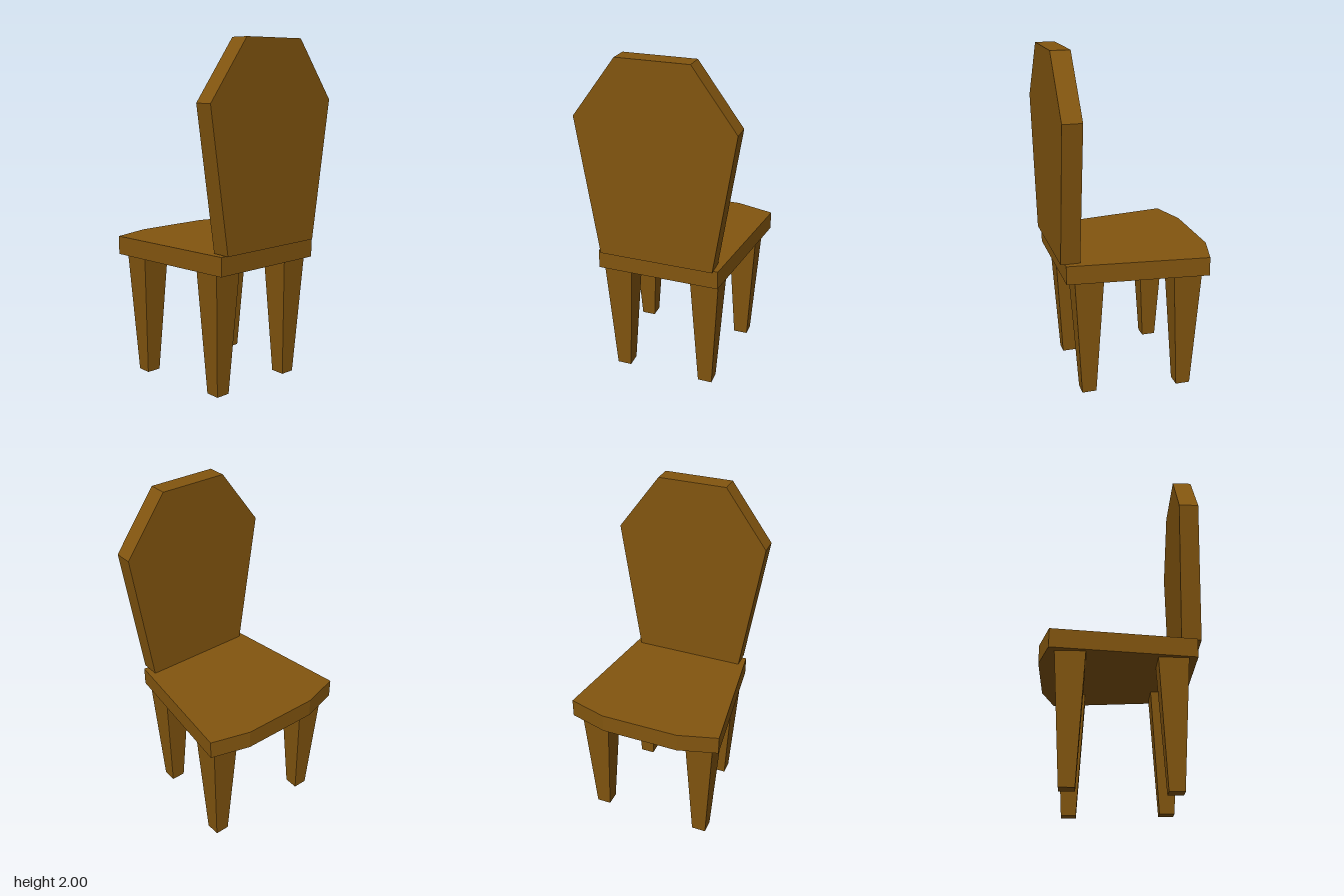
import * as THREE from 'three';

// Symmetric outline from half-points [along, half width], extruded into a slab
function slab(points, thickness) {
  const outline = [
    ...points.map(([a, w]) => new THREE.Vector2(w, a)),
    ...points.slice().reverse().map(([a, w]) => new THREE.Vector2(-w, a)),
  ];
  return new THREE.ExtrudeGeometry(new THREE.Shape(outline), { depth: thickness, bevelEnabled: false });
}

export function createModel() {
  const wood = new THREE.MeshStandardMaterial({ color: 0x82550f, flatShading: true });
  wood.name = 'brown wood';
  const chair = new THREE.Group();
  chair.name = 'chair';

  const add = (name, geometry, x = 0, y = 0, z = 0) => {
    const mesh = new THREE.Mesh(geometry, wood);
    mesh.name = name;
    mesh.position.set(x, y, z);
    chair.add(mesh);
  };

  // Seat: tapers towards the backrest, with clipped corners on the open edge
  const seat = slab([[-0.425, 0.36], [0.39, 0.46], [0.455, 0.23]], 0.11);
  seat.rotateX(-Math.PI / 2).rotateY(Math.PI / 2);
  add('seat', seat, 0, 0.732, 0);

  // Backrest: widens upwards, then slopes in to a flat top
  const back = slab([[0.845, 0.335], [1.66, 0.457], [2, 0.205]], 0.112);
  back.rotateY(Math.PI / 2);
  add('backrest', back, 0.339, 0, 0);

  // Tapered square legs, set closer together under the backrest
  const height = 0.732;
  const leg = new THREE.CylinderGeometry(0.085 * Math.SQRT2, 0.043 * Math.SQRT2, height, 4);
  leg.rotateY(Math.PI / 4);
  for (const side of [1, -1]) {
    add('seatEdgeLeg', leg, -0.276, height / 2, side * 0.33);
    add('backrestLeg', leg, 0.291, height / 2, side * 0.265);
  }
  return chair;
}
